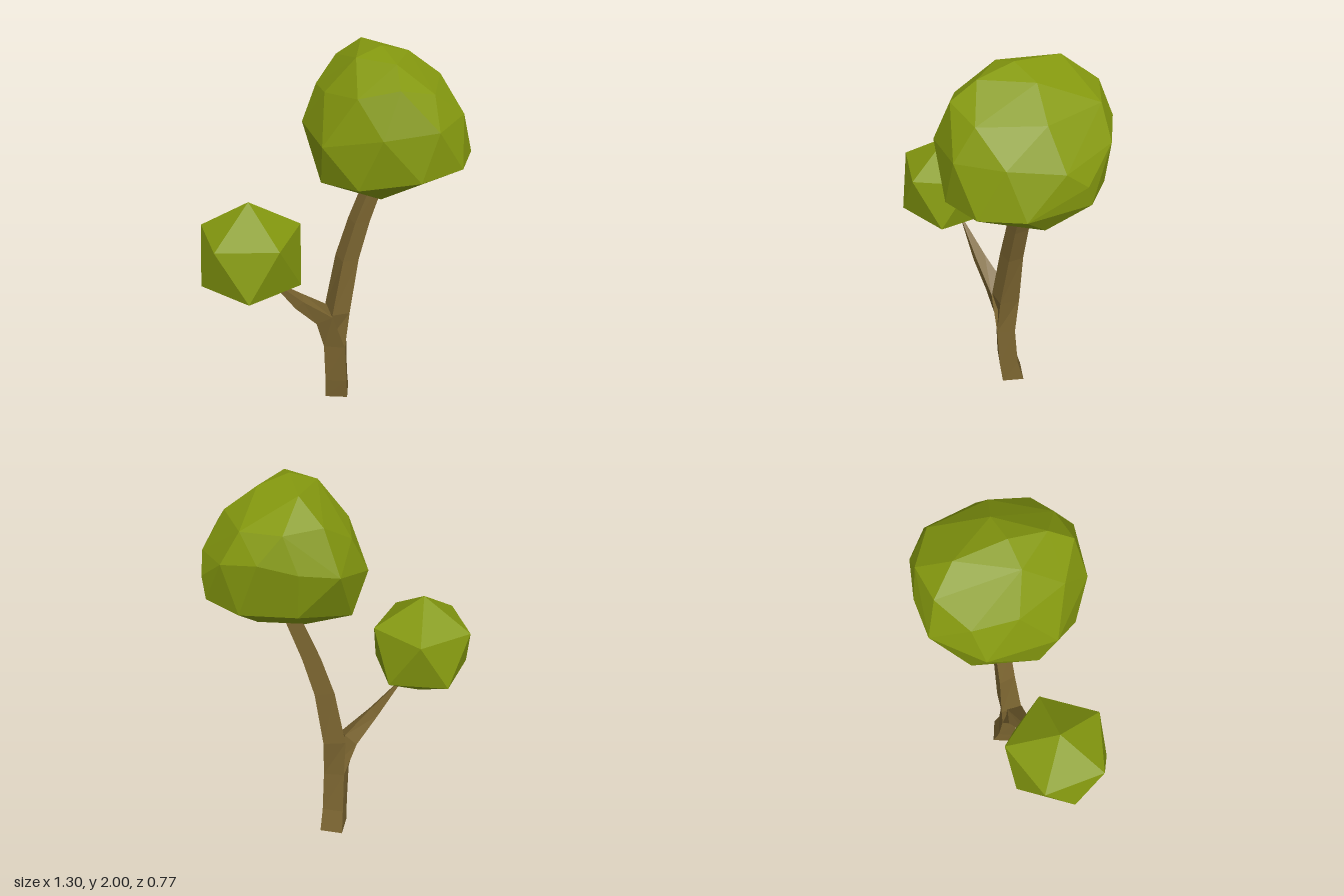
import * as THREE from 'three';
import { ConvexGeometry } from 'three/addons/geometries/ConvexGeometry.js';

const leafGreen = new THREE.MeshStandardMaterial({ color: 0x85990f });
leafGreen.name = 'leafGreen';
const barkBrown = new THREE.MeshStandardMaterial({ color: 0x7a6430 });
barkBrown.name = 'barkBrown';

// Skin four-cornered rings into a capped, flat-shaded limb.
// Corners run front, right, back, left, each [x, y, z].
function limb(name, rings) {
  const pos = [];
  const quad = (a, b, c, d) => pos.push(...a, ...b, ...c, ...a, ...c, ...d);
  for (let i = 0; i < rings.length - 1; i++) {
    for (let k = 0; k < 4; k++) {
      const n = (k + 1) % 4;
      quad(rings[i][k], rings[i][n], rings[i + 1][n], rings[i + 1][k]);
    }
  }
  const [a, b, c, d] = rings[0];
  quad(d, c, b, a);
  quad(...rings[rings.length - 1]);
  const geo = new THREE.BufferGeometry();
  geo.setAttribute('position', new THREE.Float32BufferAttribute(pos, 3));
  geo.computeVertexNormals();
  const mesh = new THREE.Mesh(geo, barkBrown);
  mesh.name = name;
  return mesh;
}

// Faceted leaf ball wrapped around a set of points.
function foliage(name, points) {
  const mesh = new THREE.Mesh(new ConvexGeometry(points), leafGreen);
  mesh.name = name;
  return mesh;
}

// Level trunk ring: height, then x, z of the four corners.
const level = (y, ...c) => [0, 2, 4, 6].map((i) => [c[i], y, c[i + 1]]);

export function createModel() {
  const tree = new THREE.Group();
  tree.name = 'tree';

  // Curved trunk
  const fork = level(0.37, 0.09, 0.025, 0.125, -0.065, 0.02, -0.09, -0.015, -0.02);
  tree.add(limb('trunk', [
    level(0, 0.115, 0, 0.155, -0.11, 0.04, -0.15, 0, -0.04),
    level(0.13, 0.105, 0.015, 0.137, -0.08, 0.03, -0.115, -0.005, -0.025),
    fork,
    level(0.59, 0.115, 0.02, 0.126, -0.085, 0.012, -0.093, 0.02, 0.02),
    level(0.9, 0.165, 0, 0.165, -0.08, 0.065, -0.08, 0.08, 0.005),
    level(1.11, 0.22, -0.002, 0.22, -0.075, 0.13, -0.075, 0.142, 0.002),
    level(1.38, 0.31, -0.002, 0.31, -0.07, 0.235, -0.07, 0.245, 0),
  ]));

  // Side branch growing out of the fork and tapering to a point
  tree.add(limb('sideBranch', [
    fork,
    [[0.02, 0.58, 0.024], [0.01, 0.615, -0.06], [-0.05, 0.555, -0.07], [-0.065, 0.55, 0.015]],
    [[-0.14, 0.715, 0.035], [-0.13, 0.735, -0.01], [-0.17, 0.69, -0.012], [-0.18, 0.68, 0.033]],
    [[-0.295, 0.87, 0.045], [-0.295, 0.872, 0.035], [-0.302, 0.868, 0.035], [-0.302, 0.866, 0.045]],
  ]));

  // Small crown: a regular twenty-sided ball standing on one corner
  const r = 0.279;
  const small = [new THREE.Vector3(0, r, 0), new THREE.Vector3(0, -r, 0)];
  for (let i = 0; i < 10; i++) {
    const a = -0.06 + (i * Math.PI) / 5;
    const side = i % 2 ? -1 : 1;
    small.push(new THREE.Vector3(0.8944 * r * Math.cos(a), 0.4472 * r * side, 0.8944 * r * Math.sin(a)));
  }
  const smallCrown = foliage('smallCrown', small);
  smallCrown.position.set(-0.4, 1.057, 0.07);
  tree.add(smallCrown);

  // Large lopsided crown, listed from the underside up
  const crown = [
    [0.2, 1.33, 0.2], [0.22, 1.33, 0], [0.42, 1.35, -0.1], [0.2, 1.345, -0.14], [0.58, 1.39, 0.05],
    [-0.055, 1.395, 0.08], [0.06, 1.43, 0.29], [0.32, 1.475, 0.385], [0.535, 1.5, 0.34],
    [0.65, 1.51, 0.175], [0.64, 1.5, -0.13], [0.5, 1.49, -0.28], [0.25, 1.49, -0.34], [0, 1.42, -0.22],
    [-0.08, 1.61, -0.165], [-0.07, 1.6, 0.155], [0.145, 1.68, 0.355], [0.395, 1.7, 0.375],
    [0.57, 1.72, 0.23], [0.64, 1.68, 0], [0.65, 1.6, -0.1], [0.56, 1.72, -0.255],
    [0.41, 1.75, -0.355], [0.245, 1.71, -0.385], [0.07, 1.68, -0.37],
    [-0.015, 1.8, 0], [0.07, 1.83, 0.22], [0.23, 1.88, 0.31], [0.4, 1.84, 0.28], [0.53, 1.85, 0.03],
    [0.47, 1.86, -0.25], [0.3, 1.87, -0.345], [0.13, 1.88, -0.31], [0, 1.78, -0.2],
    [0.115, 1.96, 0.05], [0.25, 1.96, 0.2], [0.24, 2, 0.03], [0.22, 1.98, -0.2], [0.38, 1.96, 0],
  ].map((p) => new THREE.Vector3(...p));
  tree.add(foliage('largeCrown', crown));

  return tree;
}
